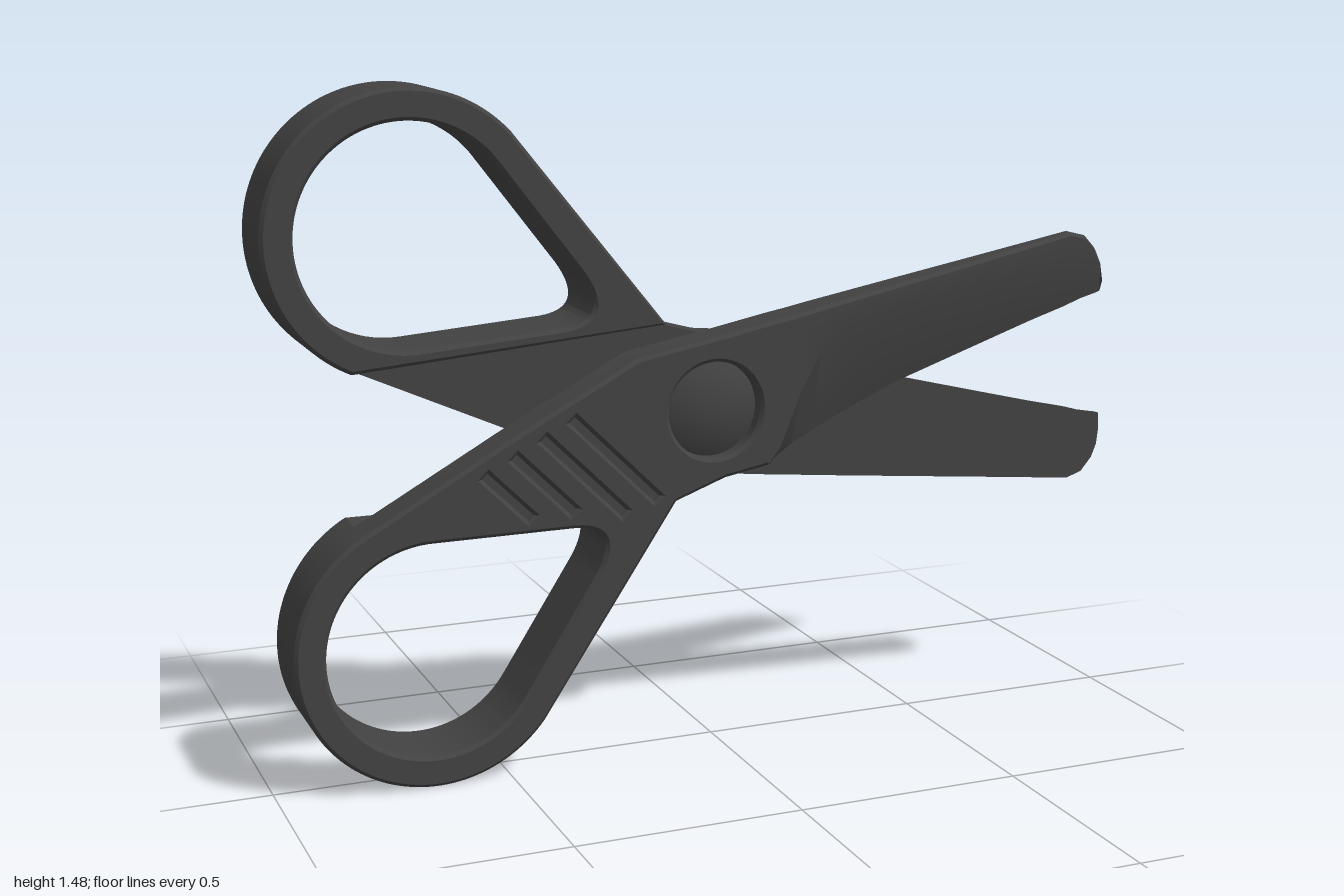
import * as THREE from 'three';
import { toCreasedNormals } from 'three/addons/utils/BufferGeometryUtils.js';

const material = new THREE.MeshStandardMaterial({ color: 0x424242 });
const PIVOT = new THREE.Vector3(-0.024, 0.772, 0);
const RING = [-0.66, 0.306];
const BEVEL = 0.008;
const THICK = 0.09;
const rad = THREE.MathUtils.degToRad;

function addMesh(group, geometry, name) {
  const mesh = new THREE.Mesh(geometry, material);
  mesh.name = name;
  group.add(mesh);
  return mesh;
}

// Slab on one side of z = 0, chamfered only on its outer face
function slab(shape, side) {
  const wall = THICK - BEVEL;
  const g = new THREE.ExtrudeGeometry(shape, {
    depth: wall, curveSegments: 40, bevelSegments: 1,
    bevelSize: BEVEL, bevelThickness: BEVEL, bevelOffset: -BEVEL,
  });
  if (side < 0) g.translate(0, 0, -wall);
  const p = g.attributes.position;
  for (let i = 0; i < p.count; i++) {
    const z = p.getZ(i);
    p.setZ(i, side > 0 ? Math.max(z, 0) : Math.min(z, 0));
  }
  return toCreasedNormals(g, 0.5);
}

// Teardrop finger opening
function fingerHole() {
  const h = new THREE.Path();
  h.absarc(RING[0], RING[1], 0.234, rad(-32.5), rad(90), true);
  h.lineTo(-0.36, 0.541);
  h.quadraticCurveTo(-0.235, 0.543, -0.302, 0.43);
  h.closePath();
  return h;
}

// Finger loop outline, closed through the given corner points
function loopShape(corners) {
  const s = new THREE.Shape();
  s.absarc(RING[0], RING[1], 0.302, rad(119), rad(-38), false);
  corners.forEach(([x, y]) => s.lineTo(x, y));
  s.closePath();
  s.holes.push(fingerHole());
  return s;
}

// Grip grooves: start point and length along the down-right diagonal
const grooves = [0.19, 0.18, 0.13, 0.1].map((len, i) => ({
  x: -0.35 - 0.065 * i, y: 0.778 - 0.035 * i, len,
}));

function frontShape() {
  const s = loopShape([[-0.115, 0.578], [0, 0.62], [0.11, 0.64], [0.11, 0.959],
    [0, 0.937], [-0.2, 0.9], [-0.47, 0.757]]);
  const pivotHole = [];
  for (let i = 0; i < 48; i++) {
    const a = (i / 48) * Math.PI * 2;
    pivotHole.push(new THREE.Vector2(PIVOT.x + 0.107 * Math.cos(a), PIVOT.y + 0.107 * Math.sin(a)));
  }
  s.holes.push(new THREE.Path(pivotHole));
  const w = 0.006;
  for (const { x, y, len } of grooves) {
    s.holes.push(new THREE.Path([[-w, -w], [-w + len, -w - len], [w + len, w - len], [w, w]]
      .map(([dx, dy]) => new THREE.Vector2(x + dx, y + dy))));
  }
  return s;
}

// Blade loft; each station: x, top y, crease y, edge y, spine z, edge z
function bladeGeometry() {
  const stations = [
    [0.10, 0.957, 0.64, 0.637, 0.09, 0.085],
    [0.13, 0.963, 0.68, 0.65, 0.09, 0.06],
    [0.18, 0.972, 0.80, 0.67, 0.088, 0.035],
    [0.23, 0.982, 0.885, 0.69, 0.084, 0.022],
    [0.30, 0.995, 0.93, 0.722, 0.078, 0.015],
    [0.45, 1.023, 0.97, 0.785, 0.066, 0.01],
    [0.65, 1.06, 1.005, 0.852, 0.049, 0.008],
    [0.80, 1.088, 1.02, 0.902, 0.036, 0.006],
    [0.89, 1.105, 1.027, 0.93, 0.028, 0.006],
    [0.93, 1.095, 1.03, 0.945, 0.024, 0.006],
    [0.96, 1.065, 1.03, 0.953, 0.02, 0.006],
    [0.975, 1.035, 1.02, 0.957, 0.018, 0.006],
    [0.983, 0.995, 0.985, 0.96, 0.016, 0.006],
  ];
  const c = 0.008, n = 6, pos = [], idx = [];
  stations.forEach(([x, yt, yc, yb, zt, zb], i) => {
    const section = [[yb, 0], [yb, zb], [Math.min(yc, yt - c), zt], [yt - c, zt], [yt, zt - c], [yt, 0]];
    section.forEach(([y, z]) => pos.push(x, y, z));
    if (i === stations.length - 1) return;
    for (let j = 0; j < n; j++) {
      const a = i * n + j, b = i * n + (j + 1) % n;
      idx.push(a, a + n, b, b, a + n, b + n);
    }
  });
  const e = (stations.length - 1) * n;
  for (let k = 1; k < n - 1; k++) idx.push(e, e + k + 1, e + k);
  const g = new THREE.BufferGeometry();
  g.setAttribute('position', new THREE.Float32BufferAttribute(pos, 3));
  g.setIndex(idx);
  return toCreasedNormals(g, 0.4);
}

// One half: blade, handle, grooves and pivot cap
function makeHalf(name) {
  const half = new THREE.Group();
  half.name = name;
  addMesh(half, slab(frontShape(), 1), 'handleFront');
  addMesh(half, slab(loopShape([[-0.12, 0.567]]), -1), 'fingerLoopBack');
  addMesh(half, bladeGeometry(), 'blade');

  // Groove floors
  for (const { x, y, len } of grooves) {
    const floor = addMesh(half, new THREE.BoxGeometry(len * Math.SQRT2 + 0.02, 0.03, 0.076), 'grooveFloor');
    floor.position.set(x + len / 2, y - len / 2, 0.038);
    floor.rotation.z = -Math.PI / 4;
  }

  // Shallow dome sunk in the pivot hole
  const r = 0.112, rise = 0.03;
  const R = (r * r + rise * rise) / (2 * rise);
  const dome = new THREE.SphereGeometry(R, 40, 8, 0, Math.PI * 2, 0, Math.asin(r / R));
  dome.rotateX(Math.PI / 2);
  dome.translate(PIVOT.x, PIVOT.y, 0.082 - R);
  addMesh(half, dome, 'pivotCap');
  return half;
}

export function createModel() {
  const model = new THREE.Group();
  model.name = 'scissors';
  model.add(makeHalf('frontHalf'));

  // The second half is the first turned over about the long axis through the pivot
  const back = makeHalf('backHalf');
  const axis = new THREE.Vector3(Math.cos(rad(2.3)), Math.sin(rad(2.3)), 0);
  back.quaternion.setFromAxisAngle(axis, Math.PI);
  back.position.copy(PIVOT).sub(PIVOT.clone().applyQuaternion(back.quaternion));
  model.add(back);
  return model;
}
